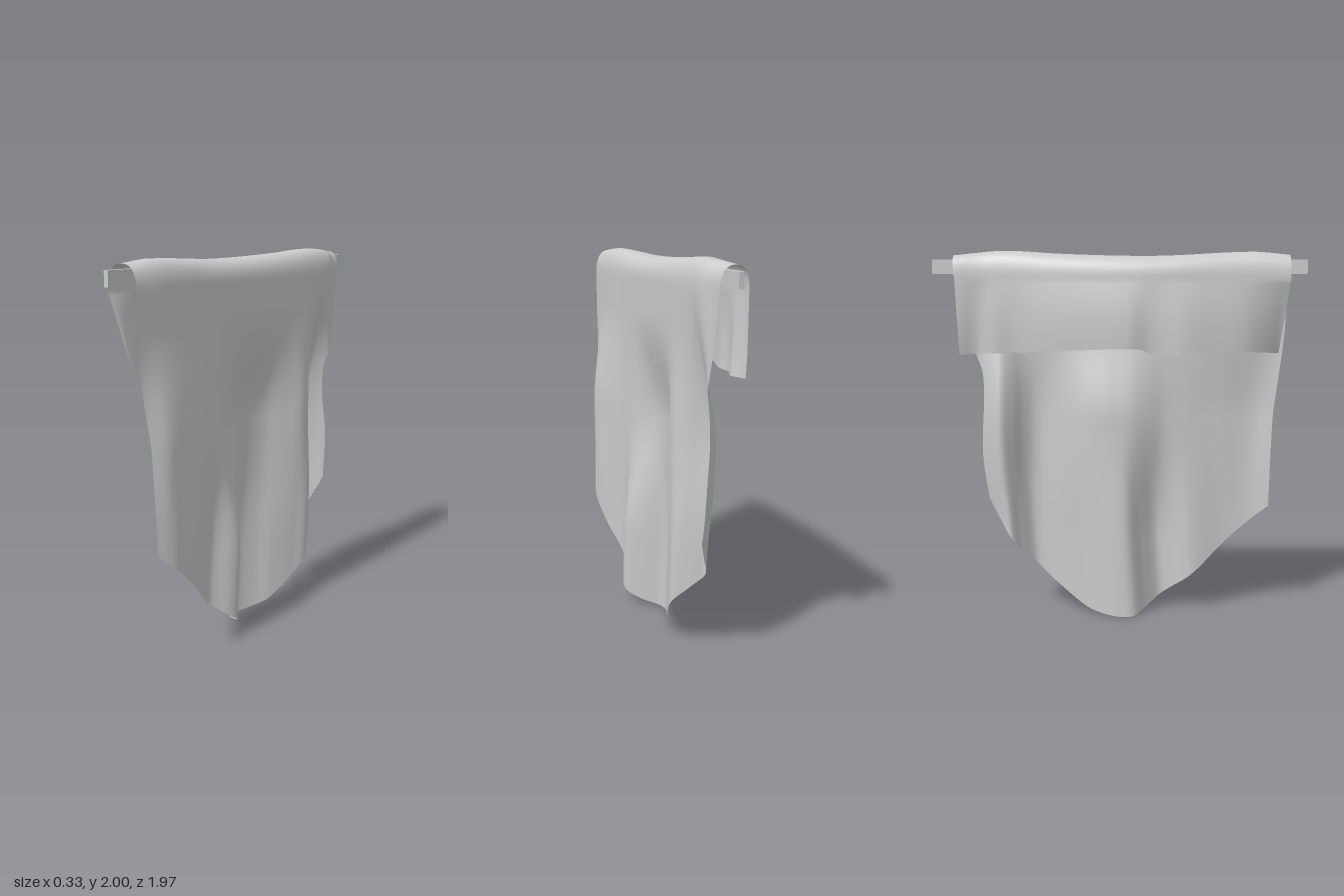
import * as THREE from 'three';

// Smooth curve through [position, value] pairs in ascending order, clamped at both ends
function curve(keys) {
  const n = keys.length;
  const slope = (i) => {
    const a = keys[Math.max(0, i - 1)], b = keys[Math.min(n - 1, i + 1)];
    return (b[1] - a[1]) / (b[0] - a[0]);
  };
  return (p) => {
    if (p <= keys[0][0]) return keys[0][1];
    if (p >= keys[n - 1][0]) return keys[n - 1][1];
    let i = 0;
    while (p > keys[i + 1][0]) i++;
    const [p0, v0] = keys[i], [p1, v1] = keys[i + 1], h = p1 - p0, t = (p - p0) / h;
    const t2 = t * t, t3 = t2 * t;
    return (2 * t3 - 3 * t2 + 1) * v0 + (t3 - 2 * t2 + t) * h * slope(i)
      + (3 * t2 - 2 * t3) * v1 + (t3 - t2) * h * slope(i + 1);
  };
}
const { lerp, smoothstep } = THREE.MathUtils;

// Long side: depth of the cloth along z, near the bar, halfway down and at the hem
const panelTop = curve([[-0.87, 0.045], [-0.79, 0.055], [-0.72, 0.085], [-0.5, 0.09], [0, 0.085], [0.4, 0.09],
  [0.7, 0.1], [0.89, 0.095]]);
const panelMid = curve([[-0.76, 0.055], [-0.7, 0], [-0.64, -0.035], [-0.58, 0.01], [-0.53, 0.07], [-0.47, 0.11],
  [-0.4, 0.11], [-0.3, 0.065], [-0.2, 0.015], [-0.1, -0.008], [0, -0.01], [0.08, 0], [0.16, 0.035], [0.24, 0.075],
  [0.4, 0.105], [0.55, 0.135], [0.75, 0.16], [0.89, 0.09]]);
const panelLow = curve([[-0.72, 0.09], [-0.68, 0.08], [-0.63, 0.035], [-0.57, -0.01], [-0.52, 0.05], [-0.45, 0.12],
  [-0.34, 0.1], [-0.2, 0.05], [-0.1, 0], [0, -0.03], [0.08, -0.02], [0.15, 0.07], [0.22, 0.14], [0.28, 0.14],
  [0.41, 0.09], [0.6, 0.145], [0.75, 0.165], [0.87, 0.14]]);
// Side edges and hem of the long side
const edgeBack = curve([[0.65, -0.72], [0.9, -0.75], [1.2, -0.735], [1.35, -0.74], [1.45, -0.775], [1.75, -0.84], [1.98, -0.865]]);
const edgeFront = curve([[0.6, 0.83], [1.1, 0.84], [1.3, 0.86], [1.6, 0.89], [1.98, 0.89]]);
const hem = curve([[-0.72, 0.65], [-0.6, 0.45], [-0.5, 0.31], [-0.4, 0.2], [-0.2, 0.045], [-0.1, 0.012], [0.03, 0],
  [0.1, 0.01], [0.2, 0.06], [0.4, 0.21], [0.6, 0.4], [0.83, 0.6]]);
// Short side: depth near the bar and at its hem, plus the height of the ridge
const flapTop = curve([[-0.87, -0.1], [-0.68, -0.085], [-0.3, -0.12], [0.05, -0.14], [0.3, -0.13], [0.55, -0.105], [0.89, -0.085]]);
const flapLow = curve([[-0.84, -0.1], [-0.75, -0.06], [-0.66, -0.09], [-0.55, -0.085], [-0.4, -0.12], [-0.2, -0.145],
  [0.05, -0.163], [0.16, -0.135], [0.33, -0.155], [0.5, -0.12], [0.66, -0.085], [0.76, -0.03], [0.85, 0.03]]);
const flapHem = curve([[-0.84, 1.46], [-0.6, 1.47], [-0.2, 1.49], [0.1, 1.495], [0.2, 1.465], [0.6, 1.48], [0.85, 1.465]]);
const ridge = curve([[-0.87, 1.975], [-0.6, 2], [-0.3, 1.985], [0, 1.975], [0.25, 1.975], [0.7, 1.995], [0.89, 1.98]]);

const SHOULDER = 1.85; // height where the cloth starts to bend over the bar
const MIDDLE = 1.1; // height of the halfway profile
const PANEL_ROWS = 64, ARC_ROWS = 24, FLAP_ROWS = 24, COLUMNS = 160;

// The lower folds lean towards the back as they rise; the rear fold reaches highest
function panelDepth(y, z) {
  if (y < MIDDLE) return lerp(panelLow(z + 0.07 * (y - 0.1)), panelMid(z), smoothstep(y, 0.4, MIDDLE));
  const foldEnd = lerp(1.88, 1.68, smoothstep(z, -0.65, -0.45));
  return lerp(panelMid(z), panelTop(z), smoothstep(y, MIDDLE, foldEnd));
}

// A point of the cloth: u runs back to front, row runs from the long hem over the bar to the short hem
function clothPoint(u, row) {
  if (row <= PANEL_ROWS) {
    const y = lerp(hem(lerp(-0.72, 0.83, u)), SHOULDER, row / PANEL_ROWS);
    const z = lerp(edgeBack(y), edgeFront(y), u);
    return [panelDepth(y, z), y, z];
  }
  row -= PANEL_ROWS;
  const zTop = lerp(edgeBack(SHOULDER), edgeFront(SHOULDER), u);
  if (row <= ARC_ROWS) {
    const a = Math.PI * row / ARC_ROWS, c = Math.cos(a), s = Math.max(0, Math.sin(a));
    const right = panelDepth(SHOULDER, zTop), left = flapTop(zTop);
    const x = (right + left) / 2 + (right - left) / 2 * Math.sign(c) * Math.abs(c) ** 0.8;
    const y = SHOULDER + (ridge(zTop) - SHOULDER) * s ** 0.8;
    return [x, y, lerp(edgeBack(y), edgeFront(y), u)];
  }
  const t = (row - ARC_ROWS) / FLAP_ROWS;
  const z = lerp(zTop, lerp(-0.835, 0.85, u), t);
  const bulge = 0.012 * Math.sin(Math.PI * t) * Math.cos(1.7 * z);
  return [lerp(flapTop(z), flapLow(z), t) - bulge, lerp(SHOULDER, flapHem(z), t), z];
}

function clothGeometry() {
  const rows = PANEL_ROWS + ARC_ROWS + FLAP_ROWS, positions = [], index = [];
  for (let r = 0; r <= rows; r++) {
    for (let c = 0; c <= COLUMNS; c++) positions.push(...clothPoint(c / COLUMNS, r));
  }
  for (let r = 0; r < rows; r++) {
    for (let c = 0; c < COLUMNS; c++) {
      const a = r * (COLUMNS + 1) + c, b = a + COLUMNS + 1;
      index.push(a, b, a + 1, a + 1, b, b + 1);
    }
  }
  const geometry = new THREE.BufferGeometry();
  geometry.setAttribute('position', new THREE.Float32BufferAttribute(positions, 3));
  geometry.setIndex(index);
  geometry.computeVertexNormals();
  return geometry;
}

export function createModel() {
  const group = new THREE.Group();
  group.name = 'drapedCloth';

  // Cloth hanging over the bar, long on one side and short on the other
  const cloth = new THREE.Mesh(clothGeometry(),
    new THREE.MeshStandardMaterial({ color: 0xcccccc, side: THREE.DoubleSide }));
  cloth.name = 'cloth';

  // Flat bar that carries the cloth
  const bar = new THREE.Mesh(new THREE.BoxGeometry(0.025, 0.075, 1.97),
    new THREE.MeshStandardMaterial({ color: 0xcccccc }));
  bar.name = 'bar';
  bar.position.y = 1.917;

  group.add(cloth, bar);
  return group;
}
